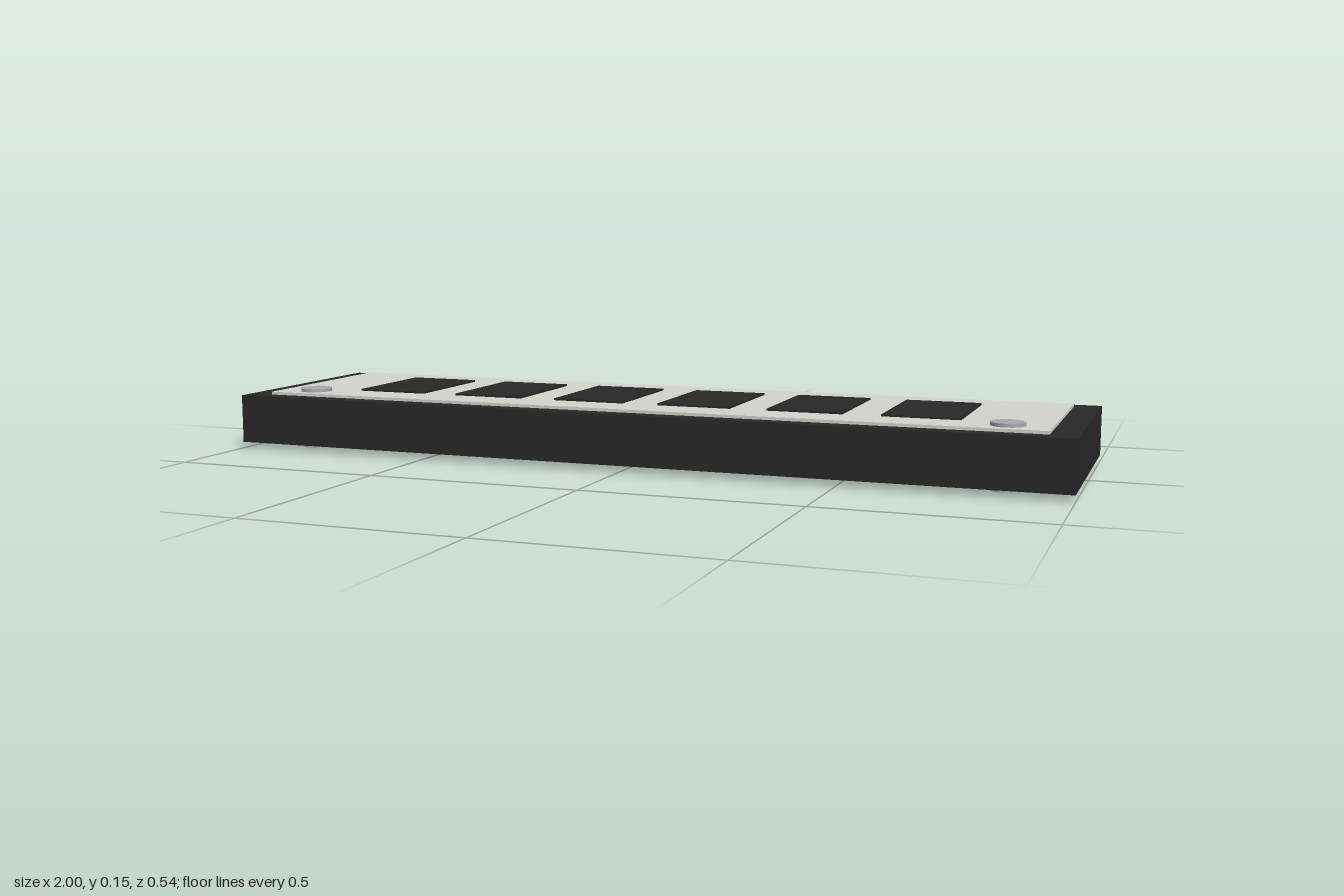
import * as THREE from 'three';

const MID = 0.073; // mid-height; the plate is the same above and below

export function createModel() {
  const model = new THREE.Group();
  const dark = new THREE.MeshStandardMaterial({ color: 0x282828 });
  const pale = new THREE.MeshStandardMaterial({ color: 0xd3d3cd });
  const metal = new THREE.MeshStandardMaterial({ color: 0xa9a9b1 });

  const add = (name, geometry, material, x, y, z) => {
    const mesh = new THREE.Mesh(geometry, material);
    mesh.name = name;
    mesh.position.set(x, y, z);
    model.add(mesh);
  };

  // Solid dark body
  add('body', new THREE.BoxGeometry(2, 0.116, 0.54), dark, 0, MID, 0);

  // Raised layers, each sunk slightly into the body
  const panel = new THREE.BoxGeometry(1.88, 0.015, 0.462);
  const tile = new THREE.BoxGeometry(0.175, 0.015, 0.27);
  const stud = new THREE.CylinderGeometry(0.038, 0.038, 0.018, 16);

  for (const side of [1, -1]) {
    const face = side > 0 ? 'top' : 'bottom';
    add(face + 'Panel', panel, pale, 0, MID + side * 0.0575, 0);

    // Row of six dark windows
    for (let i = 0; i < 6; i++) {
      add(face + 'Window' + (i + 1), tile, dark, (i - 2.5) * 0.262, MID + side * 0.062, 0);
    }

    // Studs near the front corners
    for (const x of [-0.847, 0.847]) {
      add(face + (x > 0 ? 'LeftStud' : 'RightStud'), stud, metal, x, MID + side * 0.064, 0.174);
    }
  }
  return model;
}
